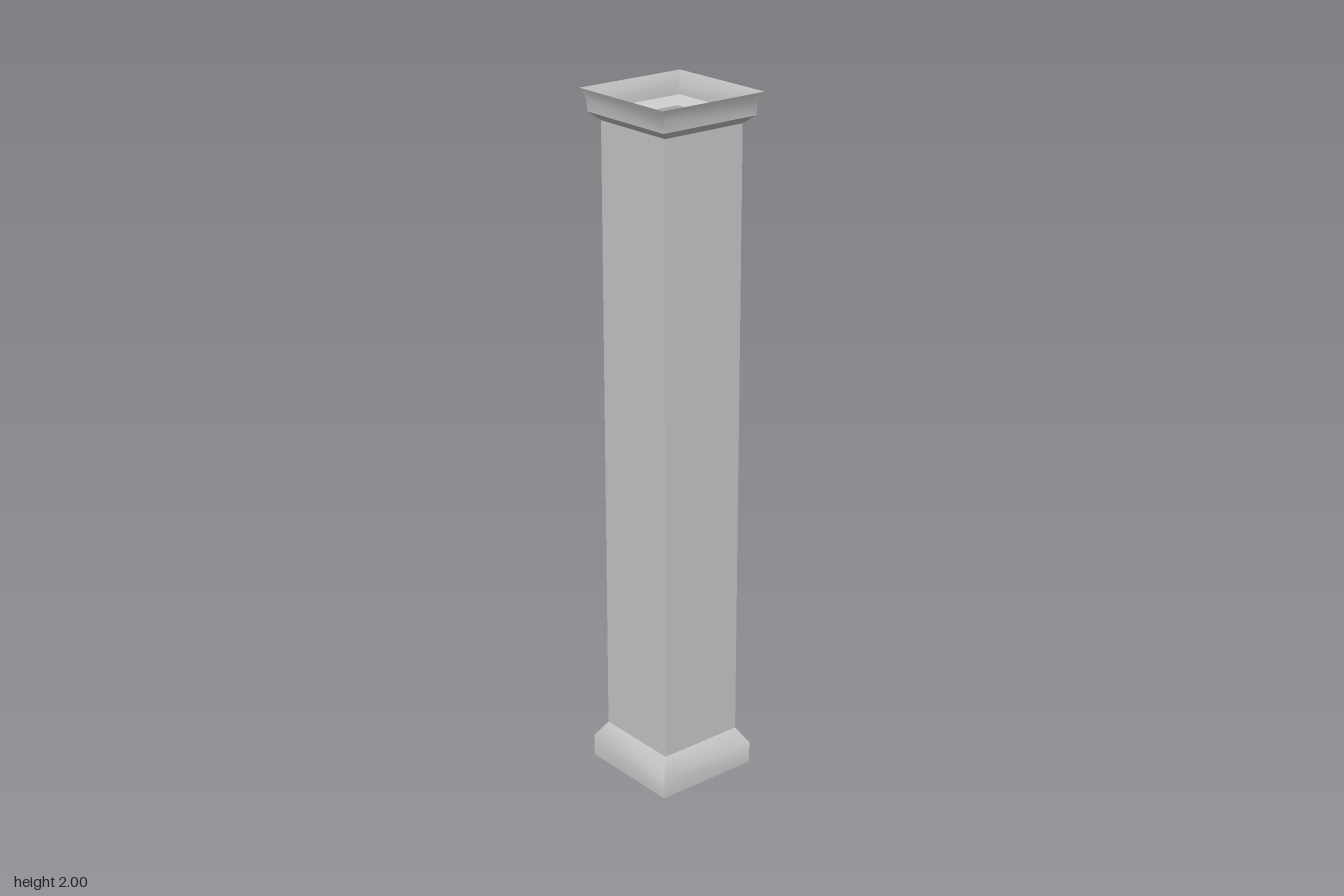
import * as THREE from 'three';
import { toCreasedNormals } from 'three/addons/utils/BufferGeometryUtils.js';

const material = new THREE.MeshStandardMaterial({ color: 0xcccccc, side: THREE.DoubleSide });

// Open square shell swept from a profile of [half width, height], bottom to top
function squareShell(name, profile) {
  const points = profile.map(([half, y]) => new THREE.Vector2(half * Math.SQRT2, y));
  const lathe = new THREE.LatheGeometry(points, 4, Math.PI / 4);
  const mesh = new THREE.Mesh(toCreasedNormals(lathe, THREE.MathUtils.degToRad(40)), material);
  mesh.name = name;
  return mesh;
}

export function createModel() {
  const column = new THREE.Group();
  column.name = 'squareColumn';
  column.add(
    // Plinth with a sloped shoulder, open underneath
    squareShell('base', [[0.162, 0], [0.162, 0.065], [0.132, 0.112]]),
    // Hollow straight shaft
    squareShell('shaft', [[0.132, 0.112], [0.132, 1.915]]),
    // Capital: sloped underside, short band and flared rim, open on top
    squareShell('capital', [[0.132, 1.915], [0.157, 1.937], [0.159, 1.97], [0.172, 2]])
  );
  return column;
}
